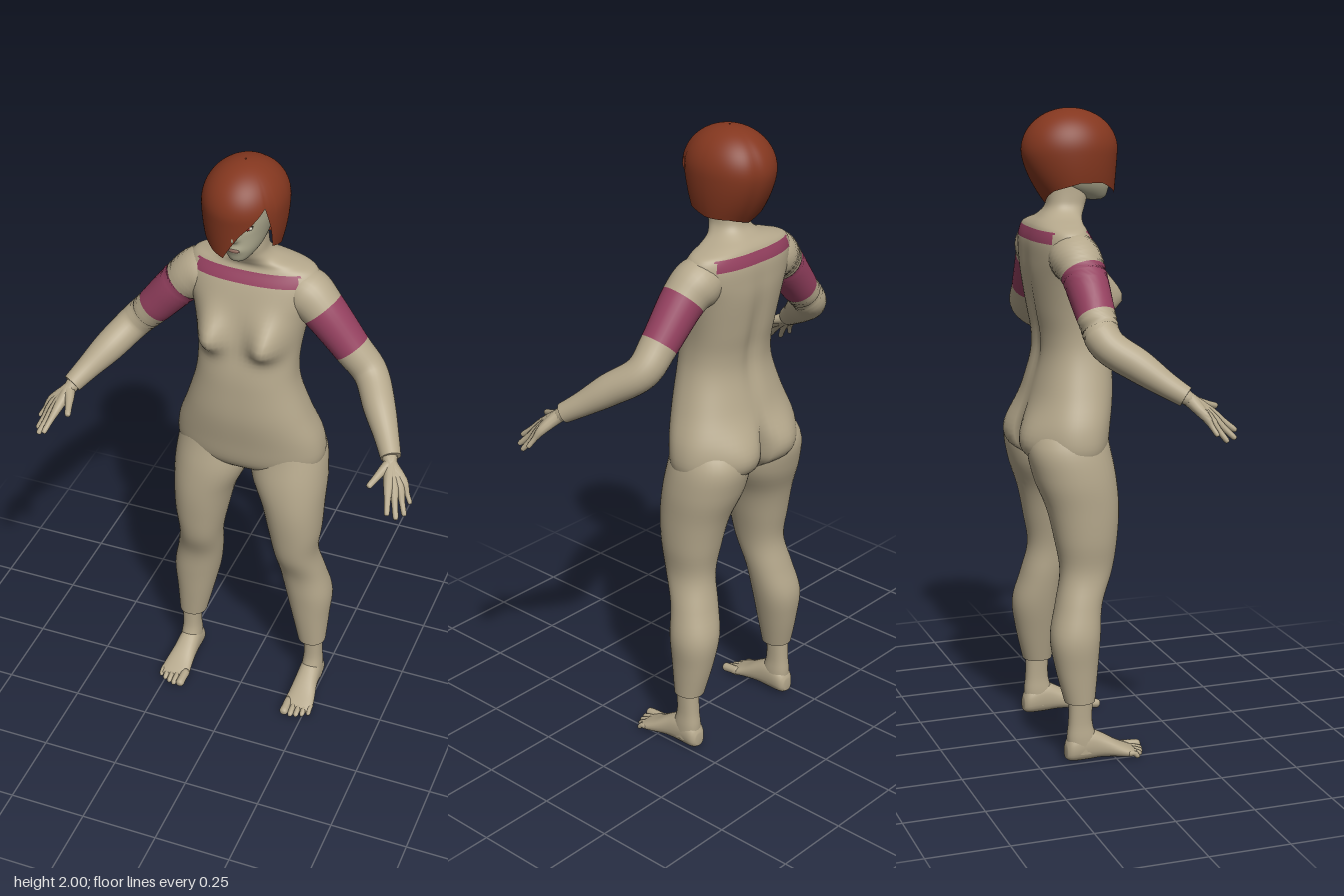
import * as THREE from 'three';

const mat = (name, color, side = THREE.FrontSide) => {
  const m = new THREE.MeshStandardMaterial({ color, side });
  m.name = name;
  return m;
};
const V = (x, y, z) => new THREE.Vector3(x, y, z);

// Smoothly interpolates rows of numbers, k steps per interval.
function sample(rows, k) {
  const out = [], n = rows.length - 1;
  for (let s = 0; s <= n * k; s++) {
    const i = Math.min(Math.floor(s / k), n - 1), t = s / k - i;
    const [A, B, C, D] = [i - 1, i, i + 1, i + 2].map(j => rows[Math.max(0, Math.min(n, j))]);
    out.push(B.map((b, q) => {
      const a = A[q], c = C[q], d = D[q];
      return 0.5 * (2 * b + (c - a) * t + (2 * a - 5 * b + 4 * c - d) * t * t + (3 * b - a - 3 * c + d) * t * t * t);
    }));
  }
  return out;
}

// Skins closed rings of points; pick(centre, row) chooses the material index.
function skin(name, rings, materials, { cap = true, sharp = true, pick = () => 0 } = {}) {
  const mid = r => r.reduce((a, p) => a.add(p), V(0, 0, 0)).divideScalar(r.length);
  if (cap) {
    const close = r => r.map(() => mid(r)), first = rings[0], last = rings[rings.length - 1];
    rings = sharp ? [close(first), first, ...rings, last, close(last)] : [close(first), ...rings, close(last)];
  }
  const m = rings[0].length, pts = rings.flat(), o = mid(rings[0]);
  const faces = materials.map(() => []);
  let volume = 0;
  for (let i = 0; i < rings.length - 1; i++) for (let j = 0; j < m; j++) {
    const a = i * m + j, b = i * m + (j + 1) % m, c = a + m, d = b + m;
    const centre = mid([a, b, c, d].map(q => pts[q]));
    faces[pick(centre, i)].push([a, c, b], [b, c, d]);
    for (const f of [[a, c, b], [b, c, d]]) {
      const [p, q, r] = f.map(n => pts[n].clone().sub(o));
      volume += p.dot(q.cross(r));
    }
  }
  const g = new THREE.BufferGeometry().setFromPoints(pts), index = [];
  faces.forEach((list, k) => {
    g.addGroup(index.length, list.length * 3, k);
    list.forEach(([a, b, c]) => index.push(...(volume > 0 ? [a, b, c] : [a, c, b])));
  });
  g.setIndex(index);
  g.computeVertexNormals();
  const mesh = new THREE.Mesh(g, materials.length > 1 ? materials : materials[0]);
  mesh.name = name;
  return mesh;
}

// Rounded ring from [level, centre x, half width, high, low]; place maps (x, depth, level) to a point.
function ring([a, cx, hw, hi, lo], seg, place, n = 2.3) {
  const soft = v => Math.sign(v) * Math.abs(v) ** (2 / n);
  return Array.from({ length: seg }, (_, j) => {
    const t = j / seg * Math.PI * 2;
    return place(cx + hw * soft(Math.cos(t)), (hi + lo) / 2 + (hi - lo) / 2 * soft(Math.sin(t)), a);
  });
}
const upright = (x, d, a) => V(x, a, d);
const lengthwise = (x, d, a) => V(x, d, a);

// Tube of changing radius through [x, y, z, radius] points.
function limb(points, k, seg) {
  const p = sample(points, k), ref = V(1, 1, 0).normalize();
  return p.map((q, i) => {
    const a = p[Math.max(0, i - 1)], b = p[Math.min(p.length - 1, i + 1)];
    const dir = V(b[0] - a[0], b[1] - a[1], b[2] - a[2]).normalize();
    const u = dir.clone().cross(ref).normalize(), w = dir.clone().cross(u);
    return Array.from({ length: seg }, (_, j) => {
      const t = j / seg * Math.PI * 2;
      return V(q[0], q[1], q[2]).addScaledVector(u, q[3] * Math.cos(t)).addScaledVector(w, q[3] * Math.sin(t));
    });
  });
}

export function createModel() {
  const root = new THREE.Group();
  const body = mat('skin', 0xb5a88c), faceMat = mat('face skin', 0xaaa68c), cloth = mat('magenta cloth', 0x94405f);
  const hairMat = mat('auburn hair', 0x84371f, THREE.DoubleSide), white = mat('eye white', 0xd8d2c0);
  const iris = mat('red iris', 0x8e2c22), dark = mat('dark brow', 0x3a2a22), lip = mat('lip', 0x8f6a5c);
  const bump = (v, c, r) => Math.exp(-(((v - c) / r) ** 2));

  // Torso and neck, with bust, buttocks and spine pushed out of the plain loft
  const torsoRows = [
    [0.905, 0, 0.08, -0.05, -0.15], [0.93, 0, 0.19, -0.01, -0.18], [0.97, 0, 0.238, 0.02, -0.215],
    [1.05, 0, 0.236, 0.035, -0.22], [1.15, 0, 0.2, 0.05, -0.2], [1.25, 0, 0.168, 0.05, -0.178],
    [1.32, 0, 0.158, 0.045, -0.178], [1.4, 0, 0.163, 0.03, -0.192], [1.5, 0, 0.183, 0.015, -0.206],
    [1.56, 0, 0.203, 0, -0.208], [1.61, 0, 0.206, -0.018, -0.206], [1.645, 0, 0.19, -0.038, -0.195],
    [1.662, 0, 0.145, -0.042, -0.184], [1.68, 0, 0.088, -0.034, -0.164], [1.705, 0, 0.06, -0.022, -0.143],
    [1.74, 0, 0.053, -0.014, -0.138], [1.8, 0, 0.05, -0.02, -0.138]];
  const torsoRings = sample(torsoRows, 5).map(r => ring(r, 72, (x, z, y) => {
    const ax = Math.abs(x), back = THREE.MathUtils.smoothstep(-z, 0.08, 0.16), front = THREE.MathUtils.smoothstep(z, -0.06, 0);
    z += front * 0.062 * bump(ax, 0.09, 0.05) * bump(y, 1.43, y < 1.43 ? 0.045 : 0.075);
    z -= back * 0.04 * bump(ax, 0.1, 0.09) * bump(y, 1.0, 0.085);
    z += back * 0.045 * bump(ax, 0, 0.018) * bump(y, 0.98, 0.08);
    z += back * 0.014 * bump(ax, 0, 0.03) * bump(y, 1.35, 0.17);
    return V(x, y, z);
  }));
  root.add(skin('torso', torsoRings, [body, cloth], {
    pick: c => (c.y > 1.61 && c.y < 1.645 && Math.abs(c.x) < 0.158 ? 1 : 0) }));

  for (const s of [1, -1]) {
    const side = s > 0 ? 'left' : 'right';
    const flip = rows => rows.map(([x, ...r]) => [x * s, ...r]);
    const flipRow = rows => rows.map(([a, cx, ...r]) => [a, cx * s, ...r]);

    // Arm with coloured upper band
    const arm = limb(flip([[0.1, 1.575, -0.11, 0.06], [0.165, 1.57, -0.108, 0.077], [0.222, 1.528, -0.098, 0.069],
      [0.32, 1.415, -0.092, 0.058], [0.385, 1.345, -0.082, 0.053], [0.44, 1.287, -0.005, 0.049],
      [0.485, 1.238, 0.06, 0.038], [0.517, 1.203, 0.112, 0.031]]), 6, 28);
    root.add(skin(side + 'Arm', arm, [body, cloth], { pick: (c, i) => (i >= 14 && i < 20 ? 1 : 0) }));

    // Hand: each finger runs from the wrist through its knuckle
    const hand = new THREE.Group();
    hand.name = side + 'Hand';
    const fingers = [
      ['thumb', [0.507, 1.182, 0.155], [0.484, 1.162, 0.222], 0.011],
      ['indexFinger', [0.535, 1.155, 0.185], [0.555, 1.1, 0.255], 0.01],
      ['middleFinger', [0.55, 1.148, 0.178], [0.58, 1.082, 0.243], 0.01],
      ['ringFinger', [0.563, 1.148, 0.165], [0.597, 1.078, 0.212], 0.0095],
      ['littleFinger', [0.57, 1.155, 0.15], [0.604, 1.1, 0.178], 0.0085]];
    for (const [name, k, t, r] of fingers) {
      const mix = f => k.map((v, i) => v + (t[i] - v) * f);
      hand.add(skin(name, limb(flip([[0.507, 1.214, 0.097, 0.022], [0.52, 1.193, 0.125, 0.021], [...k, 0.015],
        [...mix(0.5), r], [...mix(0.92), r * 0.85], [...t, r * 0.4]]), 3, 10), [body], { sharp: false }));
    }
    root.add(hand);

    // Leg ending in a trouser-like hem
    const leg = sample(flipRow([[1.1, 0.11, 0.075, 0, -0.17], [1, 0.121, 0.114, 0.012, -0.235],
      [0.9, 0.13, 0.121, 0.03, -0.225], [0.8, 0.15, 0.1, 0.035, -0.19], [0.7, 0.16, 0.086, 0.027, -0.168],
      [0.6, 0.165, 0.071, 0.01, -0.153], [0.5, 0.18, 0.075, -0.028, -0.172], [0.4, 0.198, 0.077, -0.04, -0.195],
      [0.3, 0.206, 0.062, -0.05, -0.182], [0.195, 0.215, 0.046, -0.062, -0.157]]), 5);
    root.add(skin(side + 'Leg', leg.map(r => ring(r, 40, upright, 2.15)), [body]));

    // Ankle, foot and toes
    const ankle = sample(flipRow([[0.21, 0.221, 0.031, -0.07, -0.145], [0.13, 0.221, 0.03, -0.072, -0.147],
      [0.08, 0.221, 0.034, -0.06, -0.152], [0.03, 0.221, 0.034, -0.05, -0.15]]), 4);
    root.add(skin(side + 'Ankle', ankle.map(r => ring(r, 24, upright)), [body]));
    const foot = sample(flipRow([[-0.157, 0.22, 0.018, 0.055, 0.012], [-0.14, 0.22, 0.033, 0.085, 0.004],
      [-0.09, 0.22, 0.036, 0.105, 0.003], [-0.04, 0.221, 0.039, 0.083, 0.006], [0.01, 0.224, 0.046, 0.052, 0.004],
      [0.045, 0.224, 0.05, 0.034, 0.002], [0.065, 0.223, 0.045, 0.024, 0.005]]), 4);
    root.add(skin(side + 'Foot', foot.map(r => ring(r, 24, lengthwise)), [body], { sharp: false }));
    for (let i = 0; i < 5; i++) {
      const x = 0.189 + i * 0.0185 + (i ? 0.004 : 0), r = i ? 0.0098 - i * 0.0004 : 0.0145;
      const end = 0.1 - i * i * 0.0018;
      root.add(skin(side + 'Toe' + (i + 1), limb(flip([[x, 0.02, 0.035, r], [x, 0.018, 0.07 - i * 0.004, r],
        [x, r + 0.001, end - 0.008, r], [x, r, end, r * 0.5]]), 3, 10), [body], { sharp: false }));
    }

    // Eye and brow
    const plate = (name, material, x, y, z, sx, sy, sz, tilt = 0) => {
      const e = new THREE.Mesh(new THREE.SphereGeometry(1, 16, 10), material);
      e.name = name;
      e.position.set(x * s, y, z);
      e.scale.set(sx, sy, sz);
      e.rotation.set(0, 0.3 * s, tilt * s);
      root.add(e);
    };
    plate(side + 'EyeWhite', white, 0.037, 1.843, 0.043, 0.015, 0.0075, 0.0045);
    plate(side + 'Iris', iris, 0.038, 1.843, 0.0465, 0.0065, 0.0068, 0.003);
    plate(side + 'Lash', dark, 0.038, 1.851, 0.0445, 0.017, 0.0025, 0.0045, -0.08);
    plate(side + 'Brow', dark, 0.039, 1.866, 0.042, 0.02, 0.0028, 0.0045, 0.12);
  }

  // Head with nose, brow and chin shaping
  const headRows = [[1.722, 0, 0.018, 0.036, -0.01], [1.733, 0, 0.034, 0.05, -0.05], [1.765, 0, 0.057, 0.056, -0.11],
    [1.81, 0, 0.071, 0.054, -0.15], [1.86, 0, 0.08, 0.054, -0.17], [1.91, 0, 0.078, 0.045, -0.17], [1.965, 0, 0.045, 0, -0.12]];
  const headRings = sample(headRows, 8).map(r => ring(r, 64, (x, z, y) => {
    if (z > 0) {
      z += 0.022 * bump(x, 0, 0.012) * bump(y, 1.806, y < 1.806 ? 0.01 : 0.03);
      z += 0.006 * bump(x, 0, 0.025) * bump(y, 1.769, 0.012);
      z -= 0.006 * bump(Math.abs(x), 0.035, 0.016) * bump(y, 1.845, 0.014);
    }
    return V(x, y, z);
  }, 2.2));
  root.add(skin('head', headRings, [faceMat], { sharp: false }));
  const mouth = new THREE.Mesh(new THREE.SphereGeometry(1, 16, 10), lip);
  mouth.name = 'lips';
  mouth.position.set(0, 1.769, 0.0595);
  mouth.scale.set(0.019, 0.006, 0.0048);
  root.add(mouth);

  // Bobbed hair: a dome whose hem sweeps diagonally across the face
  const hem = [[0, 1.745], [24, 1.765], [32, 1.84], [40, 1.905], [55, 1.87], [75, 1.825], [90, 1.775], [100, 1.742],
    [120, 1.752], [150, 1.782], [180, 1.785], [225, 1.76], [270, 1.715], [315, 1.74], [360, 1.745]];
  const hemAt = deg => {
    const i = Math.max(1, hem.findIndex(h => h[0] >= deg)), [a, b] = [hem[i - 1], hem[i]];
    return a[1] + (b[1] - a[1]) * (deg - a[0]) / (b[0] - a[0]);
  };
  const hairRings = [];
  for (let i = 0; i <= 28; i++) hairRings.push(Array.from({ length: 90 }, (_, j) => {
    const deg = j * 4, t = deg * Math.PI / 180, f = Math.max(i / 28, 0.004);
    const y = 2 - (2 - hemAt(deg)) * f ** 1.7;
    const up = Math.max(0, (y - 1.875) / 0.125), low = Math.max(0, (1.875 - y) / 0.16);
    const dome = Math.sqrt(Math.max(0, 1 - up * up));
    const lobe = 1 + 0.025 * bump(deg, 320, 28) - 0.025 * bump(deg, 288, 9) * dome;
    const hw = 0.126 * dome * (1 - 0.2 * low ** 2) * lobe;
    const hz = (Math.sin(t) > 0 ? 0.148 - 0.012 * low : 0.15 - 0.075 * low ** 1.6) * dome * lobe;
    return V(-0.012 + hw * Math.cos(t), y, -0.07 + hz * Math.sin(t));
  }));
  root.add(skin('hair', hairRings, [hairMat], { cap: false }));

  return root;
}
